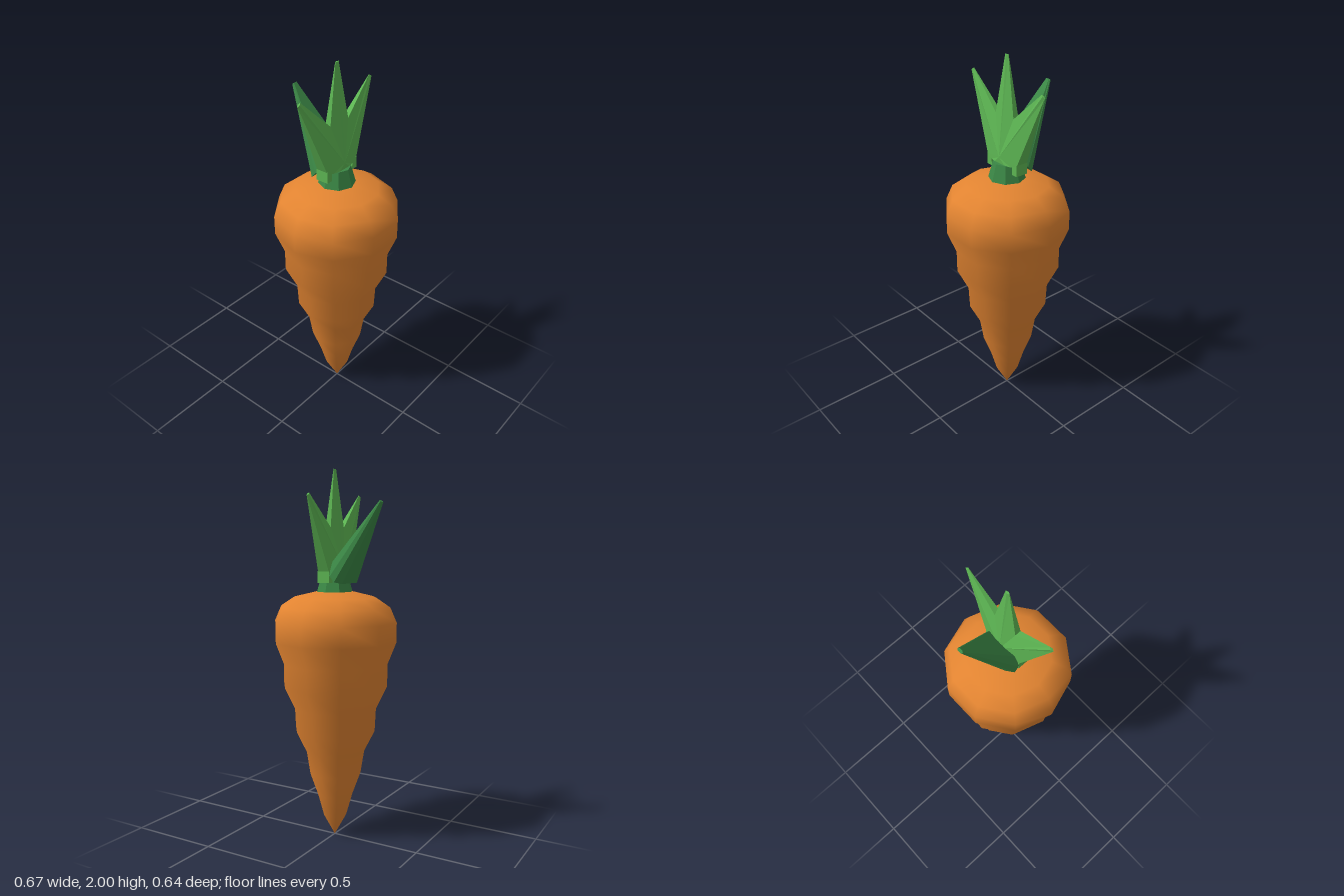
import * as THREE from 'three';

const orange = new THREE.MeshStandardMaterial({ color: 0xe28431 });
orange.name = 'carrotOrange';
const lightGreen = new THREE.MeshStandardMaterial({ color: 0x5db653, flatShading: true });
lightGreen.name = 'lightLeafGreen';
const darkGreen = new THREE.MeshStandardMaterial({ color: 0x3b8846, flatShading: true });
darkGreen.name = 'darkLeafGreen';

// Joins equal-length rings of [x, y, z] points, skipping collapsed triangles
function loft(rings) {
  const pos = [];
  const tri = (...pts) => {
    const [a, b, c] = pts.map((p) => new THREE.Vector3(...p));
    if (new THREE.Triangle(a, b, c).getArea() > 1e-8) pts.forEach((p) => pos.push(...p));
  };
  for (let r = 0; r < rings.length - 1; r++) {
    const a = rings[r], b = rings[r + 1], n = a.length;
    for (let i = 0; i < n; i++) {
      const j = (i + 1) % n;
      tri(a[i], b[i], b[j]);
      tri(a[i], b[j], a[j]);
    }
  }
  const geo = new THREE.BufferGeometry();
  geo.setAttribute('position', new THREE.Float32BufferAttribute(pos, 3));
  geo.computeVertexNormals();
  return geo;
}

export function createModel() {
  const model = new THREE.Group();
  model.name = 'carrot';
  const add = (name, geo, mat, x = 0, y = 0, z = 0) => {
    const mesh = new THREE.Mesh(geo, mat);
    mesh.name = name;
    mesh.position.set(x, y, z);
    model.add(mesh);
    return mesh;
  };

  // Ten-sided root with stepped swellings
  const profile = [
    [0, 0], [0.065, 0.12], [0.1, 0.245], [0.145, 0.37], [0.165, 0.495],
    [0.222, 0.61], [0.228, 0.735], [0.288, 0.86], [0.288, 0.98], [0.335, 1.1],
    [0.335, 1.205], [0.3, 1.285], [0.225, 1.335], [0.1, 1.365], [0, 1.368],
  ].map(([x, y]) => new THREE.Vector2(x, y));
  add('root', new THREE.LatheGeometry(profile, 10, Math.PI / 10), orange);

  // Eight-sided stem
  add('stem', new THREE.CylinderGeometry(0.072, 0.1, 0.1, 8), darkGreen, 0, 1.406, 0);

  // Three-pointed fan: outline as [x, y, half thickness], anticlockwise from the front
  const outline = [
    [-0.04, 1.455, 0.05], [0.04, 1.455, 0.05], [0.075, 1.455, 0.04], [0.115, 1.47, 0.033],
    [0.27, 1.85, 0.001], [0.26, 1.858, 0.006], [0.25, 1.865, 0.001],
    [0.068, 1.7, 0.016],
    [0.012, 2, 0.001], [0, 2, 0.006], [-0.012, 2, 0.001],
    [-0.068, 1.7, 0.016],
    [-0.26, 1.88, 0.001], [-0.27, 1.873, 0.006], [-0.28, 1.865, 0.001],
    [-0.115, 1.47, 0.033], [-0.075, 1.455, 0.04],
  ];
  const side = (s) => outline.map(([x, y, z]) => [x, y, s * z]);
  const hub = (s) => outline.map(() => [0, 1.49, s * 0.053]);
  add('leafFan', loft([hub(1), side(1), side(-1), hub(-1)]), lightGreen);

  // Small feet under both ends of the fan
  for (const s of [-1, 1]) {
    add(s > 0 ? 'leftFanFoot' : 'rightFanFoot', new THREE.BoxGeometry(0.036, 0.06, 0.07),
      lightGreen, s * 0.099, 1.445, 0);
  }

  // Back leaf leaning rearwards to a blunt tip; right half is mirrored
  const mirrored = (half) => [...half, ...half.map(([x, y, z]) => [-x, y, z]).reverse()];
  const base = mirrored([[0.1, 1.475, 0], [0.12, 1.45, -0.04], [0.12, 1.42, -0.065], [0.08, 1.41, -0.09]]);
  const tip = mirrored([[0.009, 1.833, -0.268], [0.015, 1.83, -0.271], [0.015, 1.827, -0.275], [0.009, 1.823, -0.279]]);
  const cap = (ring, p) => ring.map(() => p);
  add('backLeaf', loft([cap(tip, [0, 1.828, -0.273]), tip, base, cap(base, [0, 1.44, -0.05])]), darkGreen);

  return model;
}
